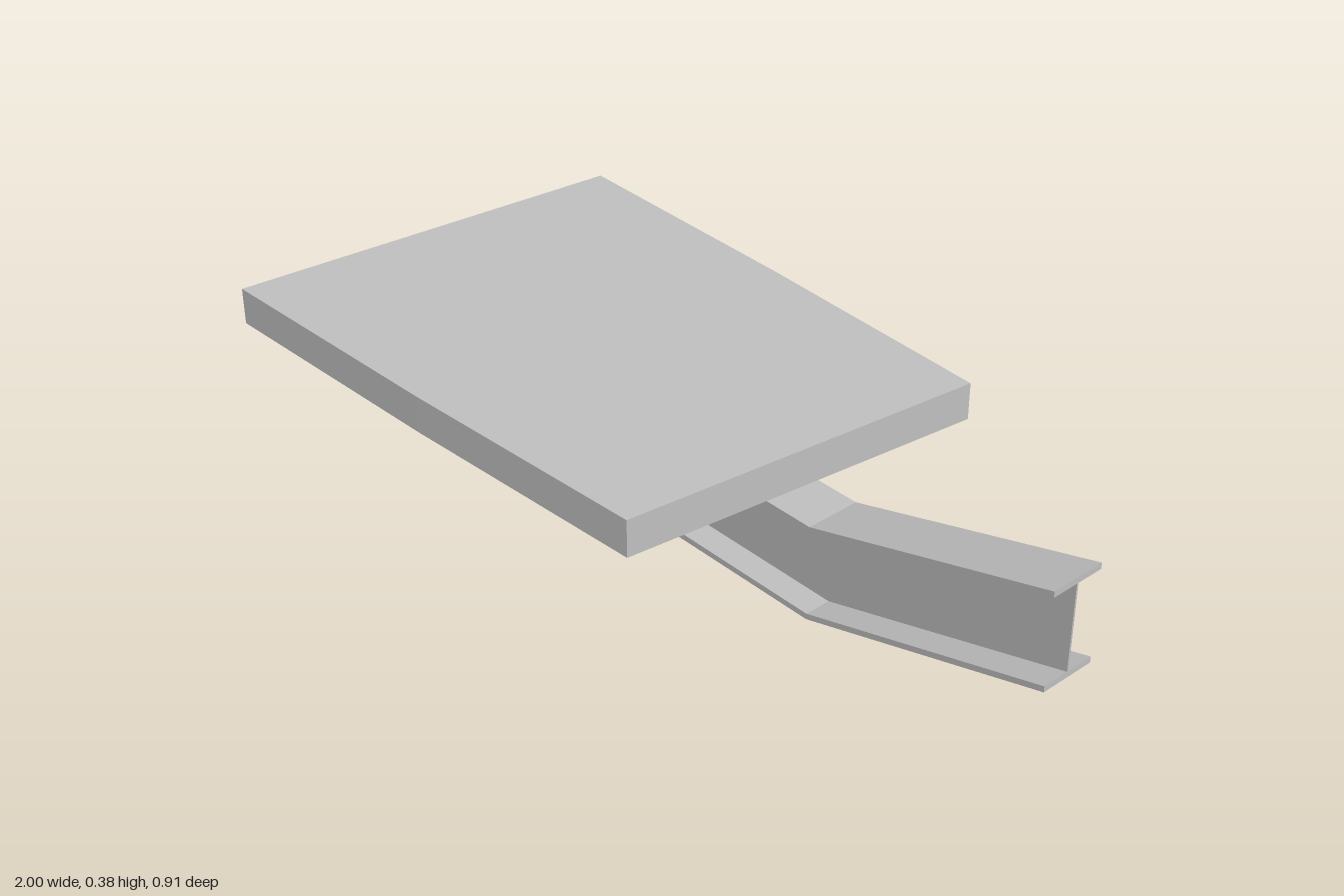
import * as THREE from 'three';

const BEND_X = 0.43, RISE = 0.168;  // the beam kinks upward beyond BEND_X
const BEAM_Z = 0.025, BEAM_H = 0.213, FLANGE_W = 0.122, FLANGE_T = 0.013, WEB_T = 0.004;

// Bent strip between two heights, extruded across the beam's width
function bentPlate(name, y0, y1, width, material) {
  const shape = new THREE.Shape([
    [-1, y0], [BEND_X, y0], [1, y0 + RISE],
    [1, y1 + RISE], [BEND_X, y1], [-1, y1],
  ].map(([x, y]) => new THREE.Vector2(x, y)));
  const geometry = new THREE.ExtrudeGeometry(shape, { depth: width, bevelEnabled: false });
  const mesh = new THREE.Mesh(geometry, material);
  mesh.name = name;
  mesh.position.z = BEAM_Z - width / 2;
  return mesh;
}

export function createModel() {
  const model = new THREE.Group();
  model.name = 'slabOnBentBeam';
  const grey = new THREE.MeshStandardMaterial({ color: 0xc0c0c0 });
  grey.name = 'light grey';

  // I-section beam with an upturned end
  const beam = new THREE.Group();
  beam.name = 'beam';
  beam.add(
    bentPlate('bottomFlange', 0, FLANGE_T, FLANGE_W, grey),
    bentPlate('web', FLANGE_T, BEAM_H - FLANGE_T, WEB_T, grey),
    bentPlate('topFlange', BEAM_H - FLANGE_T, BEAM_H, FLANGE_W, grey),
  );
  model.add(beam);

  // Skewed slab with slightly kinked long sides; outline as (x, -z)
  const outline = new THREE.Shape([
    [-0.903, -0.452], [-0.31, -0.434], [0.283, -0.403],
    [0.377, 0.405], [-0.22, 0.436], [-0.81, 0.454],
  ].map(([x, y]) => new THREE.Vector2(x, y)));
  const slab = new THREE.Mesh(
    new THREE.ExtrudeGeometry(outline, { depth: 0.083, bevelEnabled: false }), grey);
  slab.name = 'slab';
  slab.rotation.x = -Math.PI / 2;
  slab.position.y = 0.217;
  model.add(slab);

  return model;
}
